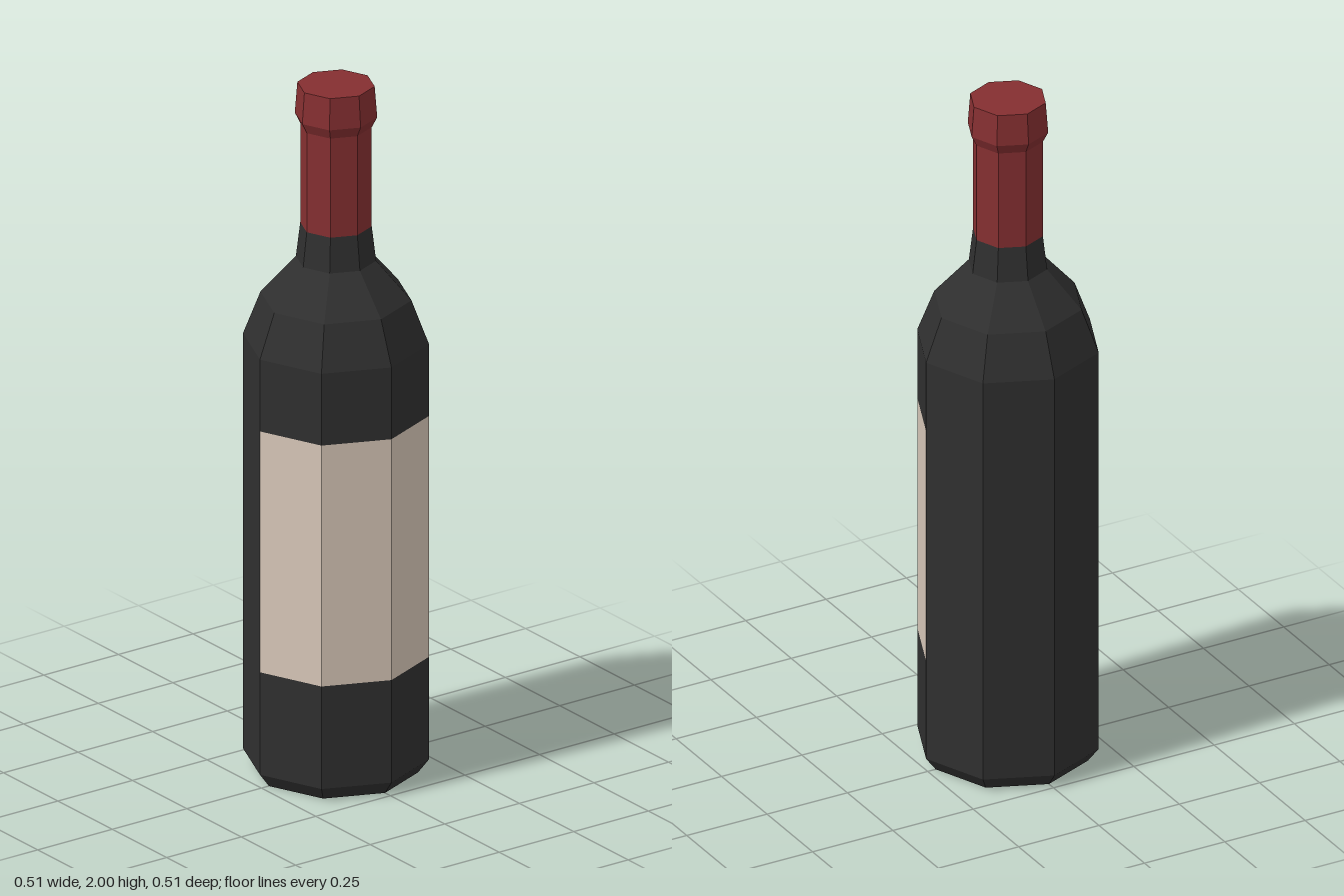
import * as THREE from 'three';

const SIDES = 8;

export function createModel() {
  const bottle = new THREE.Group();
  bottle.name = 'bottle';

  const material = (name, color) => {
    const m = new THREE.MeshStandardMaterial({ color, flatShading: true });
    m.name = name;
    return m;
  };
  const glass = material('dark glass', 0x2f2f2f);
  const foil = material('red foil', 0x852f31);
  const paper = material('cream paper', 0xd6c6b7);

  // Faceted ring section from [radius, height] pairs, listed bottom to top
  const turn = (name, mat, profile, start = 0, sweep = Math.PI * 2) => {
    const points = profile.map(([r, y]) => new THREE.Vector2(r, y));
    const segments = Math.round((SIDES * sweep) / (Math.PI * 2));
    const mesh = new THREE.Mesh(new THREE.LatheGeometry(points, segments, start, sweep), mat);
    mesh.name = name;
    bottle.add(mesh);
  };

  const R = 0.255, labelLow = 0.34, labelHigh = 1.045;

  // Base with chamfered foot
  turn('base', glass, [[0, 0], [0.225, 0], [R, 0.04], [R, labelLow]]);

  // Middle band: label on the front half, bare glass on the back half
  const band = [[R, labelLow], [R, labelHigh]];
  turn('label', paper, band, -Math.PI / 2, Math.PI);
  turn('backGlass', glass, band, Math.PI / 2, Math.PI);

  // Shoulder narrowing into the neck
  turn('shoulder', glass, [[R, labelHigh], [R, 1.255], [0.207, 1.38], [0.11, 1.49], [0.098, 1.59]]);

  // Foil sleeve with flared lip and flat top
  turn('foilCap', foil, [[0.098, 1.59], [0.098, 1.88], [0.113, 1.91], [0.106, 2], [0, 2]]);

  return bottle;
}
